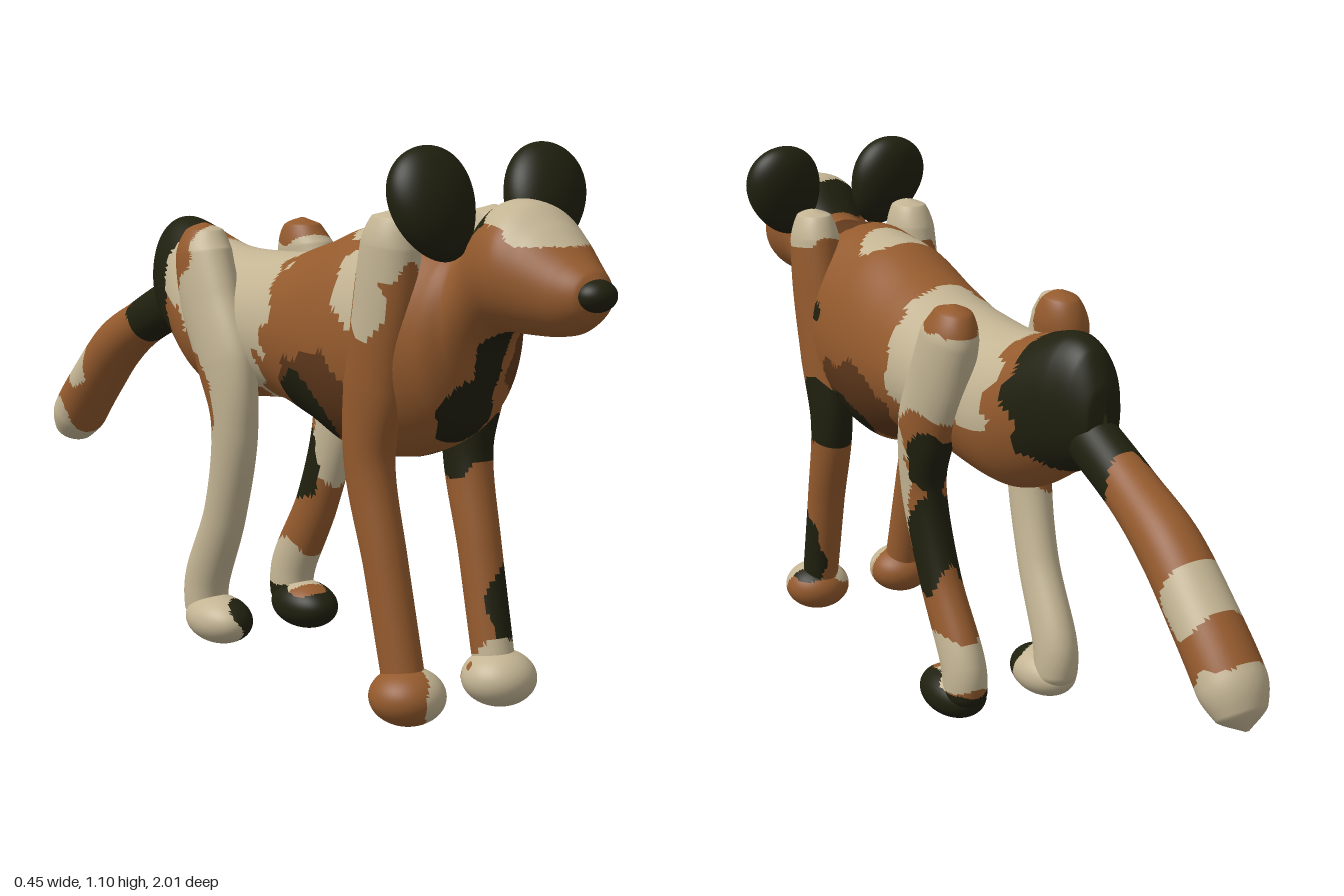
import * as THREE from 'three';

const material = (name, color) => {
  const m = new THREE.MeshStandardMaterial({ color });
  m.name = name;
  return m;
};
const MATS = [
  material('tan brown', 0x945a2d), material('deep brown', 0x5f381b),
  material('near black', 0x20200f), material('cream', 0xc3b493),
];
const TAN = 0, DEEP = 1, BLACK = 2, CREAM = 3, ANY = 9;

// Coat patches: [colour, x, y, z, rx, ry, rz]; later patches cover earlier ones.
const BODY_COAT = [
  [DEEP, 0, 0.6, 0.3, ANY, 0.09, 0.13],
  [DEEP, 0, 0.92, 0.55, 0.07, 0.06, 0.08],
  [DEEP, 0.1, 0.73, 0.6, 0.06, 0.1, 0.1],
  [CREAM, 0, 0.78, -0.05, ANY, 0.23, 0.19],
  [TAN, 0, 0.56, -0.16, ANY, 0.12, 0.16],
  [BLACK, 0, 0.79, -0.43, ANY, 0.17, 0.13],
  [CREAM, -0.1, 0.8, -0.27, 0.07, 0.08, 0.08],
  [BLACK, 0.12, 0.53, 0.42, 0.14, 0.08, 0.13],
  [BLACK, -0.13, 0.55, 0.25, 0.1, 0.1, 0.09],
  [CREAM, 0, 0.95, 0.37, 0.09, 0.07, 0.06],
  [CREAM, -0.14, 0.85, 0.44, 0.06, 0.1, 0.07],
  [BLACK, 0.16, 0.77, 0.45, 0.06, 0.02, 0.025],
  [BLACK, -0.015, 0.61, 0.63, 0.06, 0.075, 0.11],
  [BLACK, 0, 0.72, 0.67, 0.034, 0.09, 0.09],
  [BLACK, 0, 0.98, 0.7, 0.15, 0.07, 0.06],
  [BLACK, 0.09, 0.98, 0.79, 0.05, 0.05, 0.05],
  [CREAM, 0, 0.98, 0.82, 0.095, 0.085, 0.085],
];
const TAIL_COAT = [
  [BLACK, 0, 0.69, -0.49, ANY, 0.12, 0.11],
  [CREAM, 0, 0.53, -0.85, ANY, 0.07, 0.05],
  [CREAM, 0, 0.33, -0.98, ANY, 0.1, 0.09],
];
const LEFT_FRONT_COAT = [
  [CREAM, 0.13, 0.97, 0.53, ANY, 0.07, 0.07],
  [BLACK, 0.13, 0.53, 0.45, ANY, 0.08, 0.1],
  [BLACK, 0.14, 0.17, 0.56, 0.06, 0.1, 0.06],
  [CREAM, 0.1, 0.05, 0.62, 0.085, 0.09, 0.09],
];
const RIGHT_FRONT_COAT = [
  [CREAM, -0.14, 0.94, 0.53, ANY, 0.1, 0.08],
  [CREAM, -0.17, 0.81, 0.52, 0.05, 0.07, 0.05],
  [CREAM, -0.07, 0.05, 0.64, 0.05, 0.065, 0.07],
];
const LEFT_HIND_COAT = [
  [CREAM, 0.13, 0.73, -0.06, ANY, 0.17, 0.2],
  [TAN, 0.13, 0.92, -0.13, ANY, 0.06, 0.08],
  [TAN, 0.15, 0.63, -0.07, ANY, 0.05, 0.09],
  [CREAM, 0.13, 0.49, 0.04, ANY, 0.16, 0.065],
  [BLACK, 0.16, 0.56, -0.09, 0.1, 0.08, 0.06],
  [BLACK, 0.14, 0.38, -0.06, 0.1, 0.11, 0.055],
  [CREAM, 0.11, 0.14, -0.14, ANY, 0.065, 0.08],
  [BLACK, 0.11, 0.02, -0.08, ANY, 0.075, 0.2],
];
const RIGHT_HIND_COAT = [
  [CREAM, -0.13, 0.4, -0.05, ANY, 0.6, 0.3],
  [TAN, -0.14, 0.86, -0.18, ANY, 0.09, 0.08],
  [TAN, -0.15, 0.56, -0.07, 0.06, 0.1, 0.06],
  [BLACK, -0.08, 0.07, -0.04, 0.05, 0.06, 0.04],
];

// Colour of a point; the patch edges waver slightly.
function coatAt(p, coat) {
  const wob = 1 + 0.13 * Math.sin(31 * p.x + 43 * p.y + 2) * Math.sin(37 * p.z - 21 * p.y)
    + 0.06 * Math.sin(70 * p.z + 60 * p.y);
  let colour = TAN;
  for (const [c, x, y, z, rx, ry, rz] of coat) {
    if (Math.hypot((p.x - x) / rx, (p.y - y) / ry, (p.z - z) / rz) * wob < 1) colour = c;
  }
  return colour;
}

// Sorts the faces into one geometry group for each coat colour.
function paintedMesh(name, geo, coat) {
  const pos = geo.attributes.position, index = geo.index.array;
  const buckets = MATS.map(() => []);
  const p = new THREE.Vector3(), v = new THREE.Vector3();
  for (let i = 0; i < index.length; i += 3) {
    p.set(0, 0, 0);
    for (let k = 0; k < 3; k++) p.add(v.fromBufferAttribute(pos, index[i + k]));
    buckets[coatAt(p.divideScalar(3), coat)].push(index[i], index[i + 1], index[i + 2]);
  }
  geo.setIndex(buckets.flat());
  geo.clearGroups();
  let start = 0;
  buckets.forEach((b, m) => {
    if (b.length) geo.addGroup(start, b.length, m);
    start += b.length;
  });
  const mesh = new THREE.Mesh(geo, MATS);
  mesh.name = name;
  return mesh;
}

// Smooth skin over elliptical sections [x, y, z, half width, half depth].
function loft(sections, rings, sides, upright = false) {
  const centre = new THREE.CatmullRomCurve3(sections.map(s => new THREE.Vector3(s[0], s[1], s[2])));
  const size = new THREE.CatmullRomCurve3(sections.map(s => new THREE.Vector3(s[3], s[4], 0)));
  const pos = [], idx = [], S = new THREE.Vector3(1, 0, 0);
  for (let i = 0; i <= rings; i++) {
    const t = i / rings, c = centre.getPoint(t), r = size.getPoint(t);
    const T = upright ? new THREE.Vector3(0, 0, 1) : centre.getTangent(t).setX(0).normalize();
    const U = T.cross(S);
    for (let j = 0; j < sides; j++) {
      const a = j / sides * Math.PI * 2;
      const w = Math.max(r.x, 0.001) * Math.cos(a), h = Math.max(r.y, 0.001) * Math.sin(a);
      pos.push(c.x + w, c.y + U.y * h, c.z + U.z * h);
      if (i === rings) continue;
      const k = i * sides + j, n = i * sides + (j + 1) % sides;
      idx.push(k, n, k + sides, n, n + sides, k + sides);
    }
  }
  const geo = new THREE.BufferGeometry();
  geo.setAttribute('position', new THREE.Float32BufferAttribute(pos, 3));
  geo.setIndex(idx);
  geo.computeVertexNormals();
  return geo;
}

const ball = (x, y, z, rx, ry, rz) =>
  new THREE.SphereGeometry(1, 48, 32).scale(rx, ry, rz).translate(x, y, z);

export function createModel() {
  const dog = new THREE.Group();
  dog.name = 'wildDog';

  // Rump, torso, neck and head: [z, top, bottom, half width]
  const torso = [
    [-0.505, 0.77, 0.74, 0.004], [-0.498, 0.82, 0.69, 0.035], [-0.46, 0.885, 0.65, 0.062],
    [-0.4, 0.905, 0.62, 0.085], [-0.22, 0.86, 0.535, 0.13], [0.05, 0.86, 0.55, 0.145],
    [0.2, 0.895, 0.52, 0.155], [0.35, 0.94, 0.48, 0.165], [0.47, 0.95, 0.495, 0.165],
    [0.62, 0.93, 0.57, 0.125], [0.655, 0.935, 0.64, 0.1], [0.69, 0.965, 0.73, 0.093],
    [0.74, 1.01, 0.77, 0.106], [0.8, 1.01, 0.773, 0.115], [0.86, 0.975, 0.775, 0.097],
    [0.92, 0.928, 0.785, 0.07], [0.96, 0.9, 0.81, 0.045], [0.982, 0.87, 0.84, 0.004],
  ].map(([z, top, bottom, w]) => [0, (top + bottom) / 2, z, w, (top - bottom) / 2]);
  dog.add(paintedMesh('bodyAndHead', loft(torso, 200, 88, true), BODY_COAT));

  // Nose
  const nose = new THREE.Mesh(ball(0, 0.858, 0.963, 0.04, 0.03, 0.037), MATS[BLACK]);
  nose.name = 'nose';
  dog.add(nose);

  // Tail
  dog.add(paintedMesh('tail', loft([
    [0, 0.73, -0.4, 0.05, 0.06], [0, 0.645, -0.6, 0.054, 0.055],
    [0, 0.575, -0.73, 0.062, 0.062], [0, 0.48, -0.84, 0.066, 0.063], [0, 0.385, -0.935, 0.068, 0.064],
    [0, 0.335, -0.972, 0.05, 0.045], [0, 0.31, -0.99, 0.003, 0.003],
  ], 100, 44), TAIL_COAT));

  for (const side of [1, -1]) {
    const label = side > 0 ? 'left' : 'right';
    const frontCoat = side > 0 ? LEFT_FRONT_COAT : RIGHT_FRONT_COAT;
    const hindCoat = side > 0 ? LEFT_HIND_COAT : RIGHT_HIND_COAT;
    const mirror = list => list.map(([x, ...rest]) => [side * x, ...rest]);

    // Front leg with shoulder and paw
    dog.add(paintedMesh(label + 'FrontLeg', loft(mirror([
      [0.12, 0.985, 0.535, 0.003, 0.003], [0.12, 0.972, 0.535, 0.036, 0.045],
      [0.121, 0.92, 0.53, 0.052, 0.066], [0.123, 0.8, 0.515, 0.052, 0.075],
      [0.123, 0.65, 0.485, 0.05, 0.075], [0.12, 0.5, 0.465, 0.045, 0.058],
      [0.115, 0.3, 0.515, 0.042, 0.046], [0.11, 0.06, 0.575, 0.04, 0.045],
    ]), 140, 40), frontCoat));
    dog.add(paintedMesh(label + 'FrontPaw',
      ball(side * 0.112, 0.06, 0.583, 0.075, 0.056, 0.075), frontCoat));

    // Hind leg with hip and paw
    dog.add(paintedMesh(label + 'HindLeg', loft(mirror([
      [0.125, 0.915, -0.13, 0.003, 0.003], [0.125, 0.9, -0.13, 0.036, 0.047],
      [0.13, 0.85, -0.125, 0.054, 0.075], [0.134, 0.75, -0.09, 0.054, 0.085],
      [0.135, 0.63, -0.03, 0.05, 0.085], [0.13, 0.5, -0.005, 0.045, 0.06],
      [0.12, 0.3, -0.06, 0.042, 0.053], [0.113, 0.13, -0.148, 0.045, 0.057],
      [0.112, 0.07, -0.153, 0.045, 0.052], [0.112, 0.025, -0.15, 0.003, 0.003],
    ]), 140, 40), hindCoat));
    dog.add(paintedMesh(label + 'HindPaw',
      ball(side * 0.112, 0.056, -0.1, 0.064, 0.052, 0.093), hindCoat));

    // Large rounded ear, wider at the top
    const earGeo = ball(0, 0, 0, 0.086, 0.108, 0.058);
    const p = earGeo.attributes.position;
    for (let i = 0; i < p.count; i++) p.setX(i, p.getX(i) * (1 + 1.7 * p.getY(i)));
    const ear = new THREE.Mesh(earGeo, MATS[BLACK]);
    ear.position.set(side * 0.13, 1.003, 0.67);
    ear.rotation.set(-0.22, 0, -0.28 * side);
    ear.name = label + 'Ear';
    dog.add(ear);
  }
  return dog;
}
